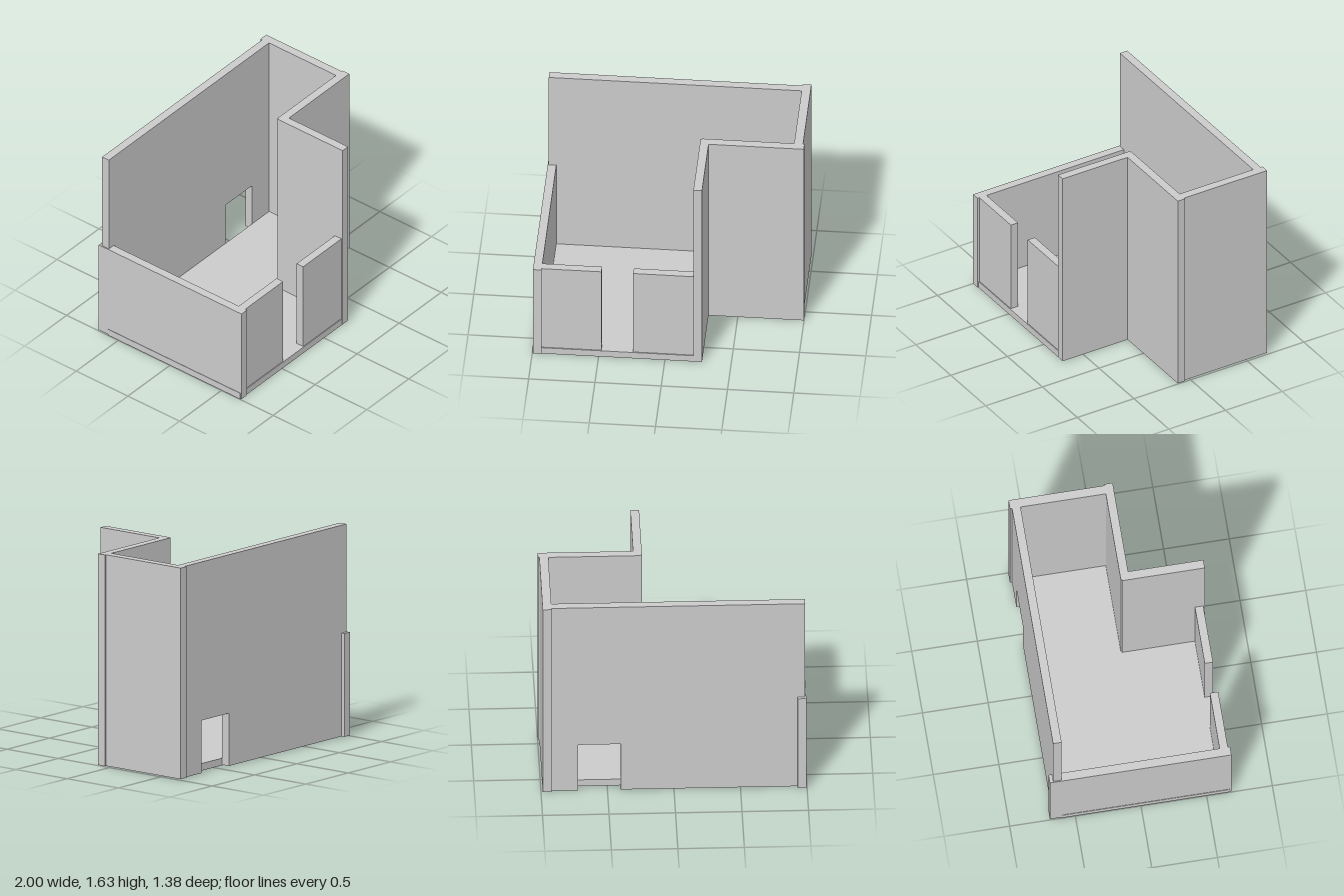
import * as THREE from 'three';

const BASE = 0.005, LOW = 0.80, HIGH = 1.63;

export function createModel() {
  const model = new THREE.Group();
  const material = new THREE.MeshStandardMaterial({ color: 0xcccccc, flatShading: true });

  const add = (name, geometry) => {
    const mesh = new THREE.Mesh(geometry, material);
    mesh.name = name;
    model.add(mesh);
    return mesh;
  };

  // Upright wall block given by its plan extents and top height
  const wall = (name, x0, x1, z0, z1, top) => {
    const geometry = new THREE.BoxGeometry(x1 - x0, top - BASE, z1 - z0);
    geometry.translate((x0 + x1) / 2, (BASE + top) / 2, (z0 + z1) / 2);
    return add(name, geometry);
  };

  const outline = (points) => new THREE.Shape(points.map(([x, y]) => new THREE.Vector2(x, y)));

  // L-shaped floor slab, drawn in plan as (x, -z) and laid flat
  const floor = new THREE.ExtrudeGeometry(outline([
    [-0.998, -0.68], [0.25, -0.68], [0.25, -0.08], [0.96, -0.08], [0.96, 0.60], [-0.998, 0.60],
  ]), { depth: 0.055, bevelEnabled: false });
  floor.rotateX(-Math.PI / 2);
  add('floor', floor);

  // Tall back wall with a small doorway that reaches the ground
  const back = new THREE.ExtrudeGeometry(outline([
    [-0.987, BASE], [0.40, BASE], [0.40, 0.41], [0.72, 0.41], [0.72, BASE],
    [0.92, BASE], [0.92, HIGH], [-0.987, HIGH],
  ]), { depth: 0.065, bevelEnabled: false });
  back.translate(0, 0, -0.667);
  add('backWall', back);

  // Tall walls around the inner corner
  wall('leftWall', 0.92, 0.987, -0.683, 0.05, HIGH);
  wall('innerFrontWall', 0.225, 0.998, 0.047, 0.112, HIGH);
  wall('innerSideWall', 0.215, 0.28, 0.055, 0.685, HIGH);

  // Low walls, with the front entrance gap
  wall('rightWall', -0.995, -0.93, -0.693, 0.69, LOW);
  wall('frontWallRight', -0.93, -0.48, 0.61, 0.673, LOW);
  wall('frontWallLeft', -0.24, 0.215, 0.61, 0.673, LOW);

  return model;
}
